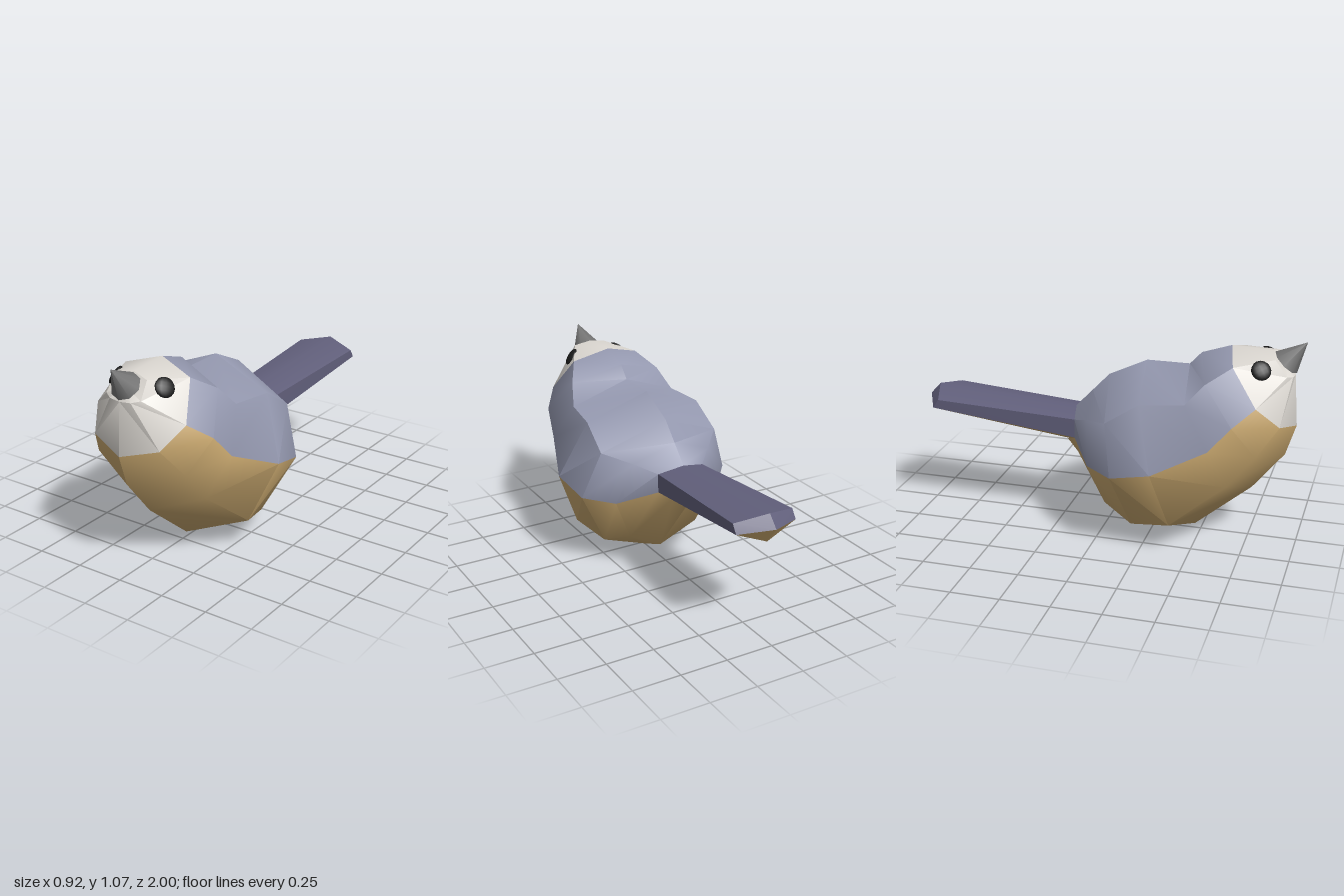
import * as THREE from 'three';
import { toCreasedNormals } from 'three/addons/utils/BufferGeometryUtils.js';

const paint = (name, color) => {
  const m = new THREE.MeshStandardMaterial({ color });
  m.name = name;
  return m;
};

// Skins mirrored half sections (top centre -> +x side -> bottom centre), front to back.
// pick(section, strip) gives the material index of each quad.
function loft(sections, materials, pick, crease) {
  const buckets = materials.map(() => []);
  const mirror = ([x, y, z]) => [-x, y, z];
  const distinct = (p, q) => p.some((v, i) => Math.abs(v - q[i]) > 1e-6);
  for (let i = 0; i < sections.length - 1; i++) {
    for (let k = 0; k < sections[i].length - 1; k++) {
      const a = sections[i][k], b = sections[i][k + 1];
      const c = sections[i + 1][k + 1], d = sections[i + 1][k];
      for (const [p, q, r] of [[a, b, d], [b, c, d]]) {
        if (!distinct(p, q) || !distinct(q, r) || !distinct(p, r)) continue;
        buckets[pick(i, k)].push(...p, ...q, ...r, ...mirror(p), ...mirror(r), ...mirror(q));
      }
    }
  }
  let geo = new THREE.BufferGeometry();
  geo.setAttribute('position', new THREE.Float32BufferAttribute(buckets.flat(), 3));
  geo = toCreasedNormals(geo, crease);
  geo.clearGroups();
  let start = 0;
  buckets.forEach((bucket, m) => {
    geo.addGroup(start, bucket.length / 3, m);
    start += bucket.length / 3;
  });
  return new THREE.Mesh(geo, materials);
}

export function createModel() {
  const bird = new THREE.Group();
  bird.name = 'bird';
  const white = paint('face white', 0xdcd8d2);
  const blue = paint('back blue grey', 0x9599b0);
  const tan = paint('belly tan', 0xc9a86f);
  const purple = paint('tail purple grey', 0x62607c);
  const grey = paint('beak grey', 0x747474);
  const black = paint('eye black', 0x1c1c1c);

  // Body: each section holds top, shoulder, flank, lower flank, bottom
  const snout = [0, 0.95, 0.9];
  const bodySections = [
    [snout, snout, snout, snout, snout],
    [[0, 1.01, 0.84], [0.09, 0.99, 0.86], [0.1, 0.91, 0.92], [0.06, 0.9, 0.945], [0, 0.895, 0.95]],
    [[0, 1.02, 0.63], [0.19, 0.965, 0.67], [0.26, 0.79, 0.8], [0.19, 0.68, 0.91], [0, 0.63, 0.97]],
    [[0, 0.97, 0.48], [0.26, 0.89, 0.55], [0.34, 0.71, 0.7], [0.26, 0.54, 0.81], [0, 0.47, 0.92]],
    [[0, 0.905, 0.42], [0.3, 0.79, 0.46], [0.365, 0.585, 0.59], [0.27, 0.37, 0.67], [0, 0.27, 0.76]],
    [[0, 0.905, 0.2], [0.33, 0.78, 0.24], [0.46, 0.47, 0.33], [0.33, 0.155, 0.4], [0, 0.025, 0.47]],
    [[0, 0.81, 0], [0.34, 0.67, 0.07], [0.43, 0.42, 0.12], [0.27, 0.11, 0.19], [0, 0, 0.23]],
    [[0, 0.715, -0.09], [0.22, 0.63, -0.06], [0.31, 0.42, -0.03], [0.2, 0.18, 0.03], [0, 0.07, 0.06]],
    [[0, 0.62, -0.18], [0.13, 0.59, -0.15], [0.13, 0.49, -0.15], [0.065, 0.46, -0.19], [0, 0.43, -0.23]],
  ];
  const body = loft(bodySections, [white, blue, tan], (i, k) => (i < 2 ? 0 : k < 2 ? 1 : 2), 0.75);
  body.name = 'body';
  bird.add(body);

  // Tail: ridge, upper edge, lower edge, keel, closing on a point
  const tip = [0, 0.61, -1];
  const tailSections = [
    [[0, 0.62, -0.16], [0.13, 0.59, -0.14], [0.13, 0.49, -0.14], [0, 0.43, -0.21]],
    [[0, 0.67, -0.945], [0.165, 0.635, -0.89], [0.165, 0.59, -0.92], [0, 0.52, -0.93]],
    [tip, tip, tip, tip],
  ];
  const tail = loft(tailSections, [purple, tan], (i, k) => (k < 2 ? 0 : 1), 0.5);
  tail.name = 'tail';
  bird.add(tail);

  // Beak: cone tilted upward
  const axis = new THREE.Vector3(0, 0.11, 0.1);
  const beak = new THREE.Mesh(new THREE.ConeGeometry(0.075, axis.length(), 8), grey);
  beak.name = 'beak';
  beak.position.set(0, 0.955, 0.9).addScaledVector(axis, 0.5);
  beak.quaternion.setFromUnitVectors(new THREE.Vector3(0, 1, 0), axis.clone().normalize());
  bird.add(beak);

  // Eyes: flattened domes lying on the cheeks
  for (const side of [1, -1]) {
    const eye = new THREE.Mesh(new THREE.SphereGeometry(0.05, 12, 8), black);
    eye.name = side > 0 ? 'leftEye' : 'rightEye';
    eye.position.set(side * 0.143, 0.948, 0.8);
    eye.quaternion.setFromUnitVectors(
      new THREE.Vector3(0, 0, 1), new THREE.Vector3(side * 0.77, 0.55, 0.33).normalize());
    eye.scale.z = 0.35;
    bird.add(eye);
  }
  return bird;
}
